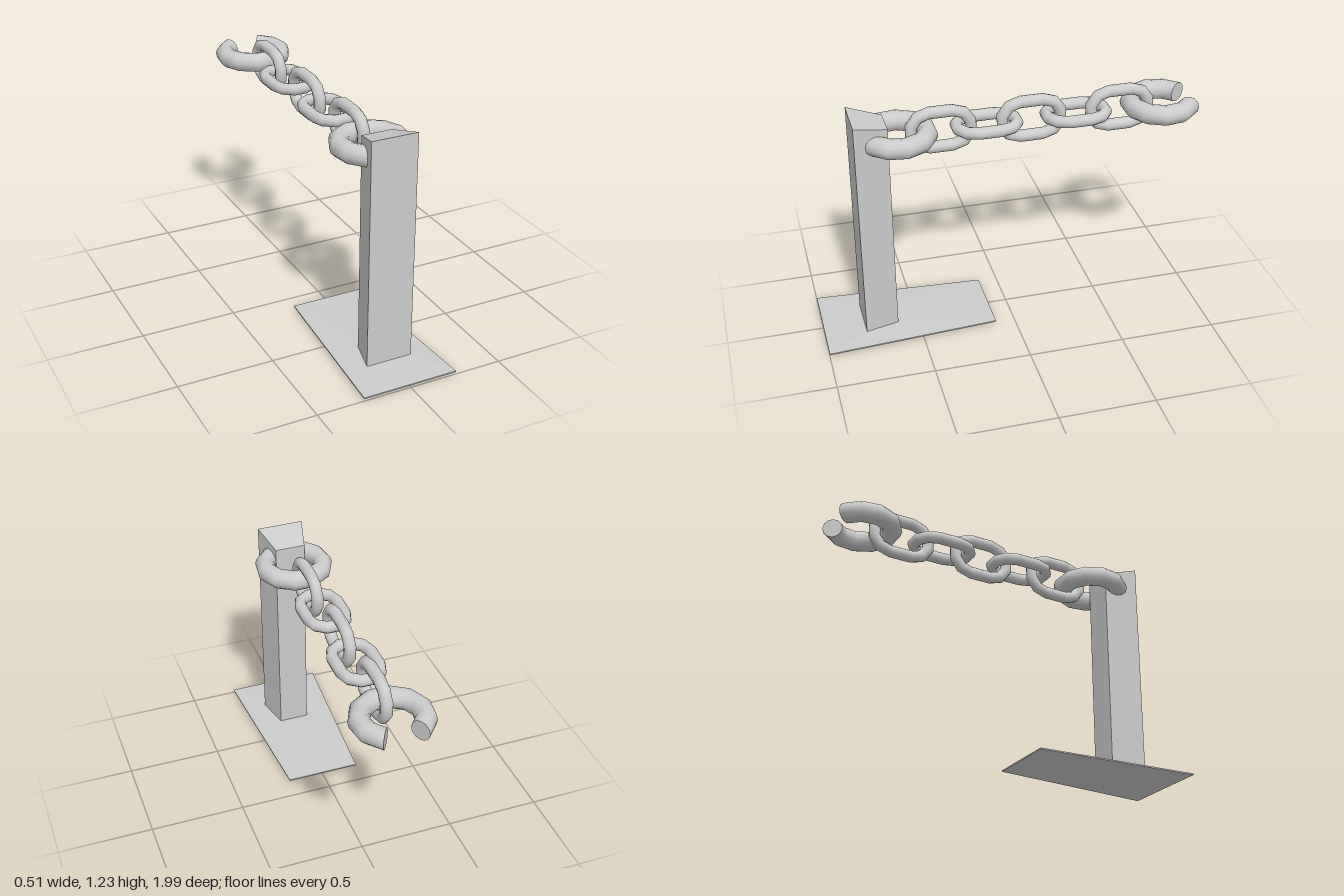
import * as THREE from 'three';
import { mergeGeometries } from 'three/addons/utils/BufferGeometryUtils.js';

const rad = THREE.MathUtils.degToRad;
const material = new THREE.MeshStandardMaterial({ color: 0xcccccc });
const CHAIN_Y = 1.105;
const SIDES = 12;

// Four-cornered cross-section: half width, z and y at the front and back edges
function ring(wFront, zFront, yFront, wBack, zBack, yBack = yFront) {
  return [[wFront, yFront, zFront], [wBack, yBack, zBack], [-wBack, yBack, zBack], [-wFront, yFront, zFront]];
}

// Flat-faced solid through a stack of four-cornered rings, bottom to top
function loft(rings) {
  const index = [0, 2, 1, 0, 3, 2];
  for (let k = 0; k < rings.length - 1; k++) {
    for (let j = 0; j < 4; j++) {
      const a = k * 4 + j, b = k * 4 + (j + 1) % 4;
      index.push(a, b, b + 4, a, b + 4, a + 4);
    }
  }
  const t = (rings.length - 1) * 4;
  index.push(t, t + 1, t + 2, t, t + 2, t + 3);
  const indexed = new THREE.BufferGeometry();
  indexed.setAttribute('position', new THREE.Float32BufferAttribute(rings.flat(2), 3));
  indexed.setIndex(index);
  const geometry = indexed.toNonIndexed();
  geometry.computeVertexNormals();
  return geometry;
}

// Round bar bent in the XZ plane; each station is [angle from +z, z offset]
function bentBar(stations, bendRadius, barRadius, closed) {
  const position = [], normal = [], index = [];
  const path = closed ? [...stations, stations[0]] : stations;
  path.forEach(([a, dz], i) => {
    const sx = Math.sin(a), cz = Math.cos(a);
    for (let j = 0; j <= SIDES; j++) {
      const b = (j / SIDES) * Math.PI * 2;
      const n = [Math.cos(b) * sx, Math.sin(b), Math.cos(b) * cz];
      normal.push(...n);
      position.push(bendRadius * sx + barRadius * n[0], barRadius * n[1], bendRadius * cz + dz + barRadius * n[2]);
      if (i < path.length - 1 && j < SIDES) {
        const p = i * (SIDES + 1) + j, q = p + SIDES + 1;
        index.push(p, q, q + 1, p, q + 1, p + 1);
      }
    }
  });
  const bar = new THREE.BufferGeometry();
  bar.setAttribute('position', new THREE.Float32BufferAttribute(position, 3));
  bar.setAttribute('normal', new THREE.Float32BufferAttribute(normal, 3));
  bar.setIndex(index);
  if (closed) return bar;

  // Flat discs on the two cut ends
  const caps = [[path[0], -1], [path[path.length - 1], 1]].map(([[a, dz], side]) => {
    const cap = new THREE.CircleGeometry(barRadius, SIDES);
    cap.deleteAttribute('uv');
    cap.rotateY(a + side * Math.PI / 2);
    return cap.translate(bendRadius * Math.sin(a), 0, bendRadius * Math.cos(a) + dz);
  });
  return mergeGeometries([bar, ...caps]);
}

export function createModel() {
  const model = new THREE.Group();
  model.name = 'chainPost';
  const add = (name, geometry, y = 0, z = 0) => {
    const mesh = new THREE.Mesh(geometry, material);
    mesh.name = name;
    mesh.position.set(0, y, z);
    model.add(mesh);
    return mesh;
  };

  // Thin tapered foot, slightly raised towards the post
  add('basePlate', loft([
    ring(0.1, 0.83, 0, 0.08, 0.5),
    ring(0.253, 1, 0.011, 0.195, 0.105),
    ring(0.253, 1, 0.018, 0.195, 0.105),
    ring(0.123, 0.785, 0.025, 0.08, 0.61),
  ]));

  // Wedge-shaped post with a sloping top
  add('post', loft([
    ring(0.123, 0.785, 0.02, 0.08, 0.61),
    ring(0.123, 0.785, 1.225, 0.08, 0.61, 1.18),
  ]));

  // Heavy open rings at both ends of the chain
  const arc = Array.from({ length: 10 }, (_, i) => [rad(-147 + i * 294 / 9), 0]);
  const hook = bentBar(arc, 0.154, 0.052, false);
  add('postRing', hook, CHAIN_Y, 0.556).rotation.y = Math.PI;
  add('endRing', hook, CHAIN_Y, -0.822);

  // Oval links, alternately upright and lying flat
  const oval = [];
  for (const half of [0, 1]) {
    for (let i = 0; i < 6; i++) oval.push([rad(-90 + half * 180 + i * 36), half ? -0.06 : 0.06]);
  }
  const link = bentBar(oval, 0.096, 0.031, true);
  for (let i = 0; i < 5; i++) {
    const mesh = add('chainLink' + (i + 1), link, CHAIN_Y, 0.332 - i * 0.2335);
    if (i % 2 === 0) mesh.rotation.z = Math.PI / 2;
  }

  return model;
}
